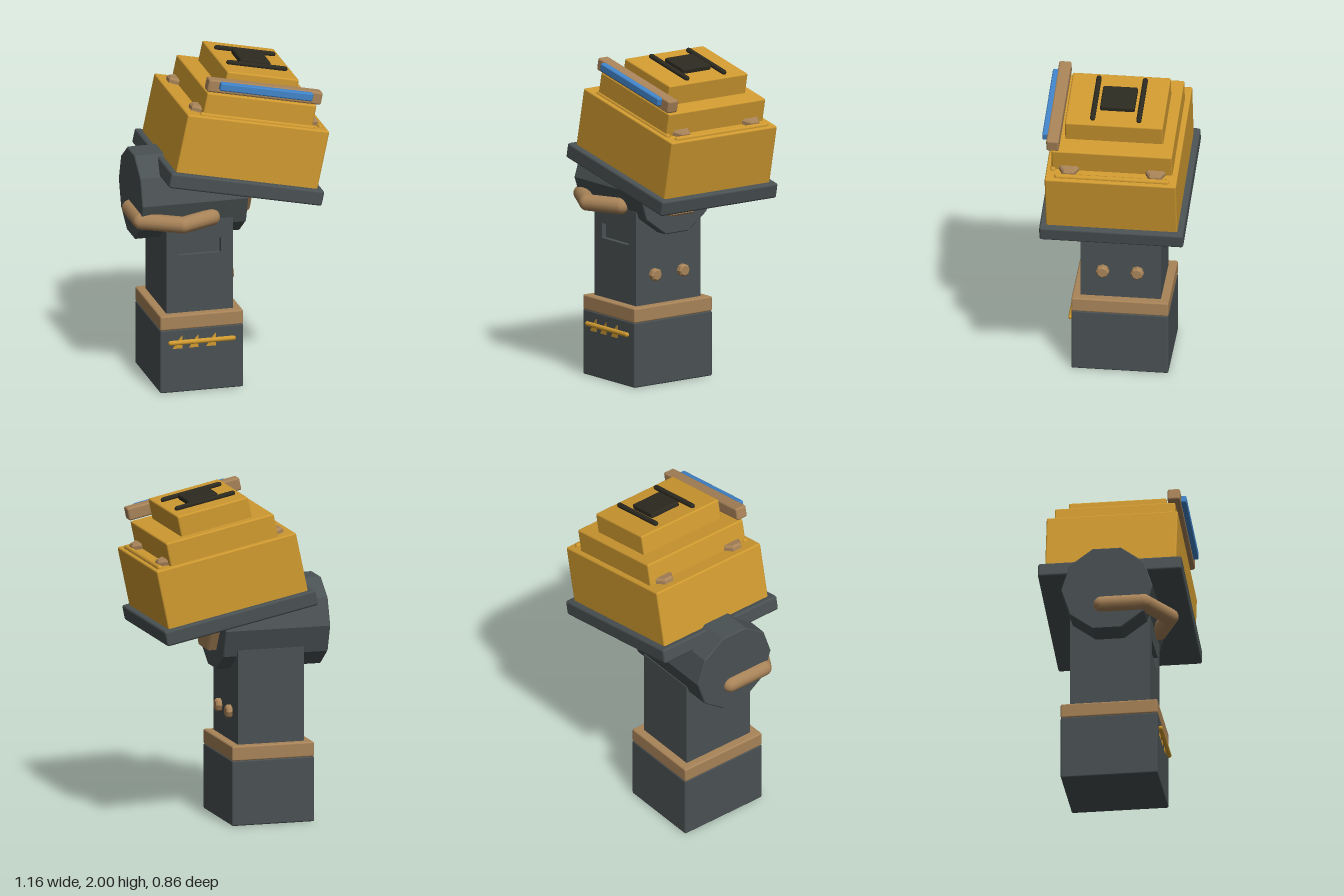
import * as THREE from 'three';
import { RoundedBoxGeometry } from 'three/addons/geometries/RoundedBoxGeometry.js';

const mat = (name, hex) => {
  const m = new THREE.MeshStandardMaterial({ color: hex });
  m.name = name;
  return m;
};

export function createModel() {
  const yellow = mat('ochre yellow', 0xd09a30);
  const grey = mat('dark grey', 0x4a5153);
  const tan = mat('tan', 0xa88358);
  const blue = mat('visor blue', 0x4184c9);
  const black = mat('near black', 0x2c2a20);

  const model = new THREE.Group();
  model.name = 'model';

  const add = (parent, name, geo, material, x = 0, y = 0, z = 0) => {
    const mesh = new THREE.Mesh(geo, material);
    mesh.name = name;
    mesh.position.set(x, y, z);
    parent.add(mesh);
    return mesh;
  };
  const box = (w, h, d, r = 0.01) => new RoundedBoxGeometry(w, h, d, 2, r);
  // Faceted prism with a small chamfer at both ends, axis along y
  const prism = (r, h, sides, bevel = 0.01) => {
    const pts = [[0, -h / 2], [r - bevel, -h / 2], [r, -h / 2 + bevel],
      [r, h / 2 - bevel], [r - bevel, h / 2], [0, h / 2]];
    const g = new THREE.LatheGeometry(pts.map(p => new THREE.Vector2(...p)), sides).toNonIndexed();
    g.computeVertexNormals();
    return g;
  };
  const rod = (r, length) => new THREE.CapsuleGeometry(r, length - 2 * r, 4, 10);

  // Base block with its collar
  const base = new THREE.Group();
  base.name = 'base';
  model.add(base);
  add(base, 'baseBlock', box(0.51, 0.395, 0.58), grey, -0.18, 0.1975, 0);
  add(base, 'baseCollar', box(0.51, 0.09, 0.58), tan, -0.18, 0.437, 0);
  add(base, 'baseRod', rod(0.015, 0.415), yellow, -0.182, 0.315, 0.3).rotation.z = Math.PI / 2;
  // Slanted warning marks behind the rod
  for (const x of [-0.36, -0.26, -0.155]) {
    const s = new THREE.Shape();
    s.moveTo(0, 0);
    s.lineTo(0.06, 0);
    s.lineTo(0.06, 0.08);
    s.lineTo(0.045, 0.065);
    add(base, 'warningMark', new THREE.ExtrudeGeometry(s, { depth: 0.003, bevelEnabled: false }),
      yellow, x, 0.275, 0.289);
  }

  // Column: solid core plus a front wall with a slot cut into it
  const column = new THREE.Group();
  column.name = 'column';
  model.add(column);
  add(column, 'columnCore', new THREE.BoxGeometry(0.41, 0.58, 0.45), grey, -0.18, 0.76, -0.015);
  const wall = new THREE.Shape();
  wall.moveTo(-0.385, 0.47);
  wall.lineTo(0.025, 0.47);
  wall.lineTo(0.025, 1.05);
  wall.lineTo(-0.385, 1.05);
  const slot = new THREE.Path();
  slot.moveTo(-0.31, 0.84);
  slot.lineTo(-0.31, 0.93);
  slot.lineTo(-0.05, 0.93);
  slot.lineTo(-0.05, 0.84);
  wall.holes.push(slot);
  add(column, 'columnFrontWall', new THREE.ExtrudeGeometry(wall, { depth: 0.03, bevelEnabled: false }),
    grey, 0, 0, 0.21);
  for (const z of [-0.1, 0.107]) {
    add(column, 'columnBolt', prism(0.039, 0.06, 8), tan, 0.03, 0.66, z).rotation.z = -Math.PI / 2;
  }

  // Horizontal pivot drum with a hexagonal end cap
  add(model, 'pivotDrum', prism(0.275, 0.65, 10, 0.006), grey, -0.215, 1.175, 0).rotation.z = Math.PI / 2;
  add(model, 'pivotCap', prism(0.167, 0.1, 6, 0.012), tan, 0.12, 1.175, 0).rotation.z = Math.PI / 2;

  // Bent handle wrapping the drum's end and front
  const handle = new THREE.Group();
  handle.name = 'handle';
  model.add(handle);
  const bend = [[-0.535, -0.03], [-0.535, 0.22], [-0.31, 0.35], [-0.11, 0.255]]
    .map(([x, z]) => new THREE.Vector3(x, 1.07, z));
  for (let i = 0; i < 3; i++) {
    const dir = bend[i + 1].clone().sub(bend[i]);
    const mid = bend[i].clone().add(bend[i + 1]).multiplyScalar(0.5);
    const part = add(handle, 'handleSection', new THREE.CapsuleGeometry(0.05, dir.length(), 6, 14),
      tan, mid.x, mid.y, mid.z);
    part.quaternion.setFromUnitVectors(new THREE.Vector3(0, 1, 0), dir.normalize());
  }

  // Tilted head, built upward from the centre of its tray
  const head = new THREE.Group();
  head.name = 'head';
  head.position.set(0.06, 1.283, 0);
  head.rotation.z = -0.208;
  model.add(head);
  add(head, 'headTray', box(0.96, 0.094, 0.86, 0.014), grey);
  add(head, 'headLowerTier', box(0.888, 0.37, 0.785), yellow, 0, 0.222, 0);
  add(head, 'headMiddleTier', box(0.685, 0.16, 0.72), yellow, 0, 0.468, 0);
  add(head, 'headTopTier', box(0.45, 0.145, 0.585), yellow, 0, 0.6, -0.003);

  // Rods on the rim of the lower tier
  add(head, 'sideRimRod', rod(0.017, 0.69), yellow, 0.404, 0.407, -0.005).rotation.x = Math.PI / 2;
  add(head, 'frontRimRod', rod(0.017, 0.72), yellow, 0, 0.407, 0.352).rotation.z = Math.PI / 2;

  // Four clips where the tiers meet
  for (const x of [-0.345, 0.345]) {
    for (const z of [-0.26, 0.255]) {
      add(head, 'tierClip', prism(0.06, 0.06, 6, 0.012), tan, x, 0.41, z);
    }
  }

  // Visor bar with its blue strip
  add(head, 'visorBar', box(0.714, 0.078, 0.075, 0.012), tan, 0, 0.6, 0.35);
  add(head, 'visorStrip', box(0.58, 0.05, 0.045, 0.01), blue, 0, 0.61, 0.395);

  // Top vent plate between two rails
  add(head, 'ventPlate', box(0.19, 0.04, 0.207), black, 0, 0.682, -0.01);
  for (const z of [-0.148, 0.128]) {
    add(head, 'ventRail', rod(0.016, 0.383), black, 0, 0.682, z).rotation.z = Math.PI / 2;
  }

  return model;
}
